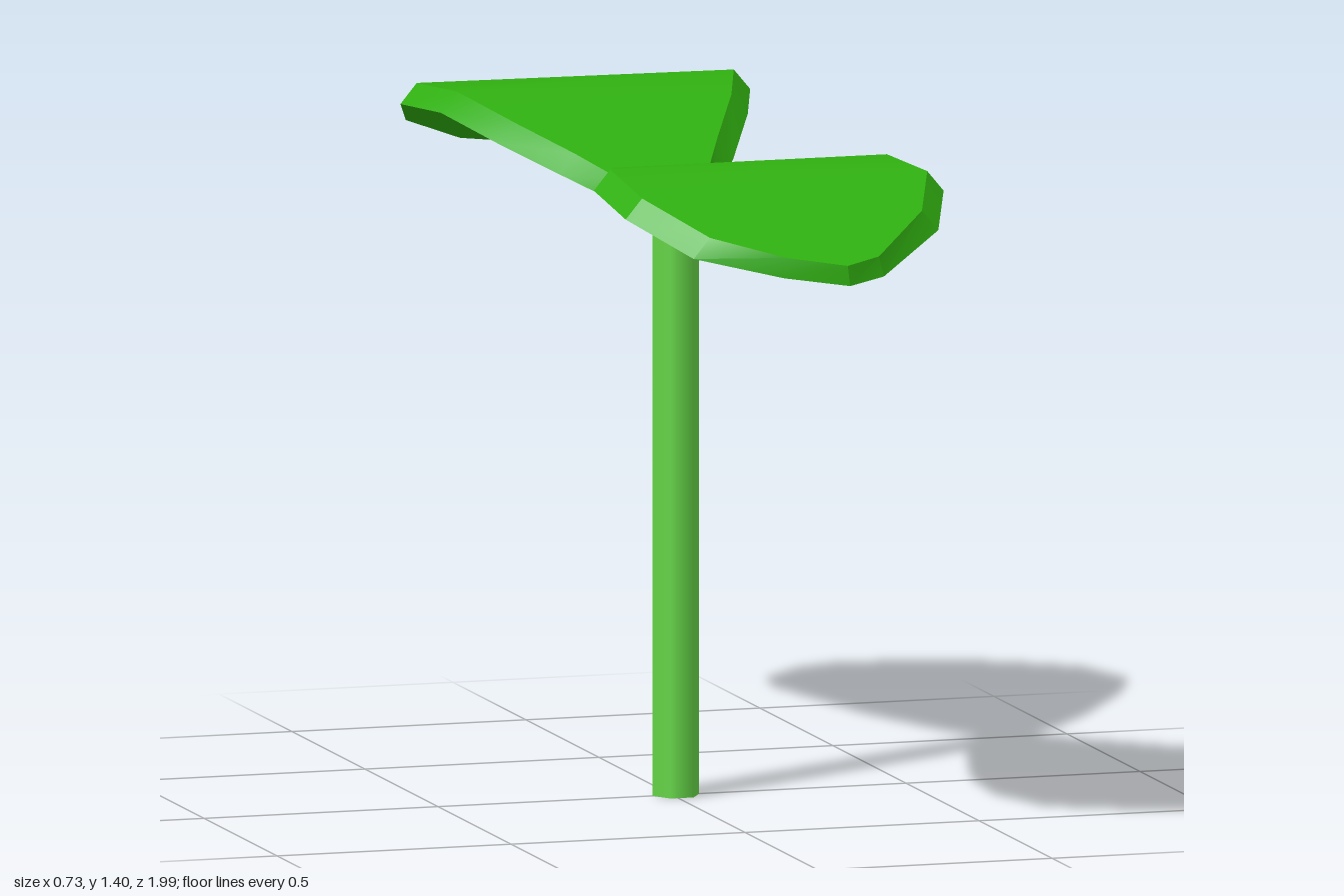
import * as THREE from 'three';
import { toCreasedNormals } from 'three/addons/utils/BufferGeometryUtils.js';

// Leaf outline [x, z] from the stem to the tip, one list per side
const sideA = [[-0.03, 0], [-0.12, 0.08], [-0.2, 0.22], [-0.29, 0.41], [-0.345, 0.57], [-0.33, 0.74], [-0.23, 0.885], [-0.06, 0.96], [0.07, 0.995]];
const sideB = [[0.04, 0], [0.1, 0.08], [0.18, 0.19], [0.27, 0.33], [0.335, 0.51], [0.365, 0.69], [0.31, 0.83], [0.15, 0.97], [0.07, 0.995]];
// Arch of the leaf underside [z, y]
const arch = [[0, 1.2], [0.1, 1.225], [0.2, 1.265], [0.38, 1.325], [0.56, 1.355], [0.7, 1.337], [0.86, 1.268], [1, 1.2]];
const THICKNESS = 0.042;

function archHeight(z) {
  const i = Math.max(1, arch.findIndex((p) => p[0] >= z));
  const [z0, y0] = arch[i - 1], [z1, y1] = arch[i];
  return y0 + (y1 - y0) * (z - z0) / (z1 - z0);
}

function leafGeometry() {
  const pos = [];
  const tri = (a, b, c) => pos.push(...a, ...b, ...c);
  const low = ([x, z]) => [x, archHeight(z), z];
  // The upper face is narrower, which bevels the rim
  const high = ([x, z]) => {
    const inset = 0.035 * Math.min(1, Math.abs(x) / 0.2) * (z > 0.9 ? 0.4 : 1);
    return [x - Math.sign(x) * inset, archHeight(z) + THICKNESS, z];
  };

  // Upper and lower faces, in strips across the leaf
  const last = sideA.length - 1;
  for (let i = 0; i < last; i++) {
    const quad = [sideA[i], sideA[i + 1], sideB[i + 1], sideB[i]];
    const [a, b, c, d] = quad.map(high);
    const [e, f, g, h] = quad.map(low);
    tri(a, c, d);
    tri(e, h, g);
    if (i < last - 1) {
      tri(a, b, c);
      tri(e, g, f);
    } else {
      continue;
    }
  }

  // Rim
  const loop = [...sideA, ...sideB.slice(0, -1).reverse()];
  loop.forEach((p, i) => {
    const q = loop[(i + 1) % loop.length];
    tri(low(p), low(q), high(q));
    tri(low(p), high(q), high(p));
  });

  const geo = new THREE.BufferGeometry();
  geo.setAttribute('position', new THREE.Float32BufferAttribute(pos, 3));
  return toCreasedNormals(geo, 0.45);
}

export function createModel() {
  const leafGreen = new THREE.MeshStandardMaterial({ name: 'leafGreen', color: 0x30b010 });
  const stemGreen = new THREE.MeshStandardMaterial({ name: 'stemGreen', color: 0x66d847 });
  const model = new THREE.Group();
  model.name = 'sprout';

  // Six-sided stem
  const stem = new THREE.Mesh(new THREE.CylinderGeometry(0.05, 0.05, 1.205, 6).rotateY(Math.PI / 6), stemGreen);
  stem.name = 'stem';
  stem.position.set(0.008, 0.6025, 0);
  model.add(stem);

  // Two opposite leaves
  const geo = leafGeometry();
  ['frontLeaf', 'backLeaf'].forEach((name, i) => {
    const leaf = new THREE.Mesh(geo, leafGreen);
    leaf.name = name;
    leaf.rotation.y = i * Math.PI;
    model.add(leaf);
  });
  return model;
}
